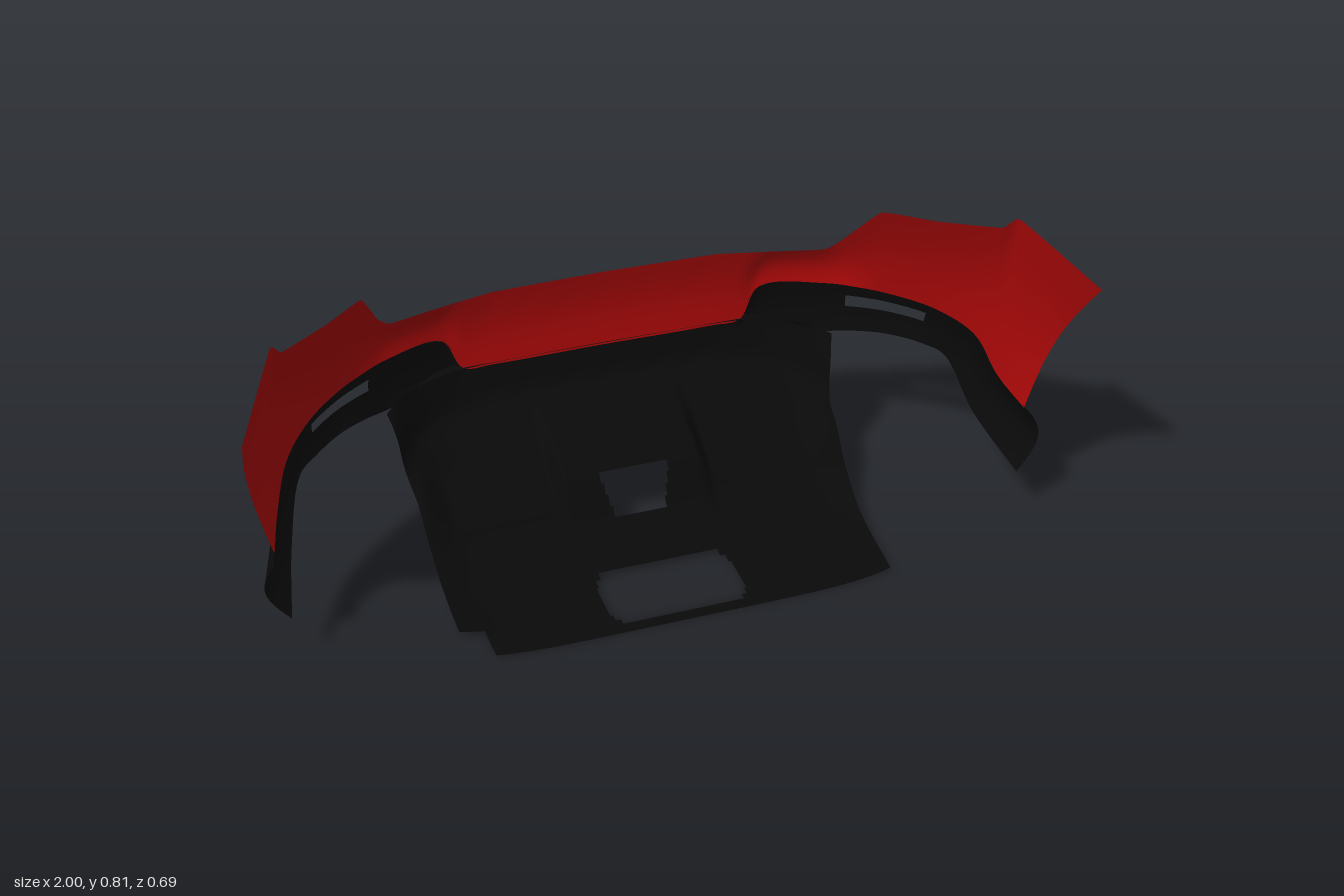
import * as THREE from 'three';

const paint = new THREE.MeshStandardMaterial({ color: 0xa80808, side: THREE.DoubleSide });
paint.name = 'red paint';
const plastic = new THREE.MeshStandardMaterial({ color: 0x090909, side: THREE.DoubleSide });
plastic.name = 'black plastic';

const { lerp, smoothstep } = THREE.MathUtils;
const curveOf = (pts, type = 'centripetal', tension = 0.5) =>
  new THREE.CatmullRomCurve3(pts.map((p) => new THREE.Vector3(...p)), false, type, tension);

// Smooth sheet over u in [u0, 1] and v in [0, 1]; cells where skip(point, u, v) holds are open
function sheet(name, material, u0, nu, nv, pointAt, skip = () => false) {
  const uAt = (i) => lerp(u0, 1, i / nu);
  const positions = [];
  const index = [];
  for (let j = 0; j <= nv; j++) {
    for (let i = 0; i <= nu; i++) positions.push(...pointAt(uAt(i), j / nv));
  }
  for (let j = 0; j < nv; j++) {
    for (let i = 0; i < nu; i++) {
      const u = uAt(i + 0.5), v = (j + 0.5) / nv;
      if (skip(pointAt(u, v), u, v)) continue;
      const a = j * (nu + 1) + i, b = a + 1, d = a + nu + 1, e = d + 1;
      index.push(a, b, d, b, e, d);
    }
  }
  const geo = new THREE.BufferGeometry();
  geo.setAttribute('position', new THREE.Float32BufferAttribute(positions, 3));
  geo.setIndex(index);
  geo.computeVertexNormals();
  const mesh = new THREE.Mesh(geo, material);
  mesh.name = name;
  return mesh;
}

// Point between two rails, pushed outward in plan by bulge
function between(top, bottom, u, v, bulge) {
  const p = top.getPoint(u).lerp(bottom.getPoint(u), v);
  const t = bottom.getTangent(u);
  const length = Math.hypot(t.x, t.z);
  return [p.x + (t.z / length) * bulge, p.y, p.z - (t.x / length) * bulge];
}

// Edges from the centre line to the left wheel arch
const coverTop = [
  [0, .617, -.288], [.28, .615, -.284], [.37, .607, -.278], [.42, .605, -.27],
  [.55, .612, -.225], [.585, .645, -.2], [.64, .763, -.1], [.74, .768, -.01],
  [.86, .786, .1], [.89, .818, .13], [1, .725, .345],
];
const coverBottom = [
  [0, .402, -.302], [.28, .402, -.3], [.36, .405, -.302], [.41, .49, -.303],
  [.56, .503, -.245], [.63, .502, -.202], [.7, .495, -.155], [.79, .48, -.072],
  [.86, .44, .01], [.9, .35, .07], [.93, .305, .165],
];
// The trim hangs from the cover's lower edge
const trimTop = [...coverBottom.slice(2, -1), [.94, .297, .2]];
const trimBottom = [
  [.36, .35, -.335], [.42, .365, -.315], [.555, .362, -.25], [.63, .375, -.202],
  [.7, .378, -.157], [.77, .37, -.1], [.82, .345, -.065], [.867, .22, .02], [.91, .14, .195],
];

// Diffuser sections as [y, z]: on the centre line and at the outer edge
const section = (pts) => curveOf(pts.map(([y, z]) => [0, y, z]));
const centreSection = section([[.408, -.3], [.405, -.345], [.34, -.343], [.285, -.325], [.24, -.22],
  [.18, -.08], [.085, -.015], [.024, .11], [.01, .3], [.008, .33]]);
const edgeSection = section([[.37, -.215], [.345, -.195], [.31, -.178], [.25, -.163], [.215, -.138],
  [.185, -.08], [.11, 0], [.048, .11], [.02, .28], [.018, .31]]);

function diffuserPoint(u, v) {
  const x = u * (.527 + .048 * (1 - v) ** 1.5);
  const p = centreSection.getPoint(v).lerp(edgeSection.getPoint(v), u ** 6);
  // Sunken pod on each side of the middle channel
  const side = Math.abs(x);
  const pod = smoothstep(side, .17, .205) * (1 - smoothstep(side, .45, .53));
  return [x, p.y - .05 * pod * Math.exp(-(((v * 9 - 4.8) / .9) ** 2)), p.z];
}

// Openings in the diffuser; t counts section points from the top
function diffuserOpening([x], u, v) {
  const t = v * 9, side = Math.abs(x);
  const lipSlot = side < .03 && t > 1.37 && t < 1.5;
  const smallWindow = t > 5 && t < 6 && side < .09 - .025 * (t - 5);
  const corner = Math.max(0, .2 - Math.min(t - 7, 8 - t)) * .12;
  const largeWindow = t > 7 && t < 8 && side < .17 - corner;
  const brokenCorner = x < -.47 && t > 7.65;
  return lipSlot || smallWindow || largeWindow || brokenCorner;
}

export function createModel() {
  const model = new THREE.Group();
  model.name = 'rearBumper';

  // Painted outer cover, its ends hollowed to form the wheel arches
  const coverRails = [curveOf(coverTop, 'catmullrom', 0.15), curveOf(coverBottom)];
  model.add(sheet('bumperCover', paint, -1, 160, 16, (u, v) => {
    const s = Math.abs(u), swell = Math.sin(Math.PI * v);
    const [x, y, z] = between(...coverRails, s, v, .012 * swell);
    return [Math.sign(u) * x, y, z - .045 * swell * s ** 8];
  }));

  // Black wraparound trim with a slot on each side
  const trimRails = [curveOf(trimTop), curveOf(trimBottom)];
  const trimSlot = (p, u, v) => u > .333 && u < .604 && v > .25 && v < .5;
  for (const [name, side] of [['leftSideTrim', 1], ['rightSideTrim', -1]]) {
    model.add(sheet(name, plastic, 0, 48, 12, (u, v) => {
      const bulge = (.011 + .028 * u ** 6) * Math.sin(Math.PI * v);
      const [x, y, z] = between(...trimRails, u, v, bulge);
      return [side * x, y, z];
    }, trimSlot));
  }

  // Underbody diffuser
  model.add(sheet('diffuser', plastic, -1, 160, 72, diffuserPoint, diffuserOpening));

  return model;
}
